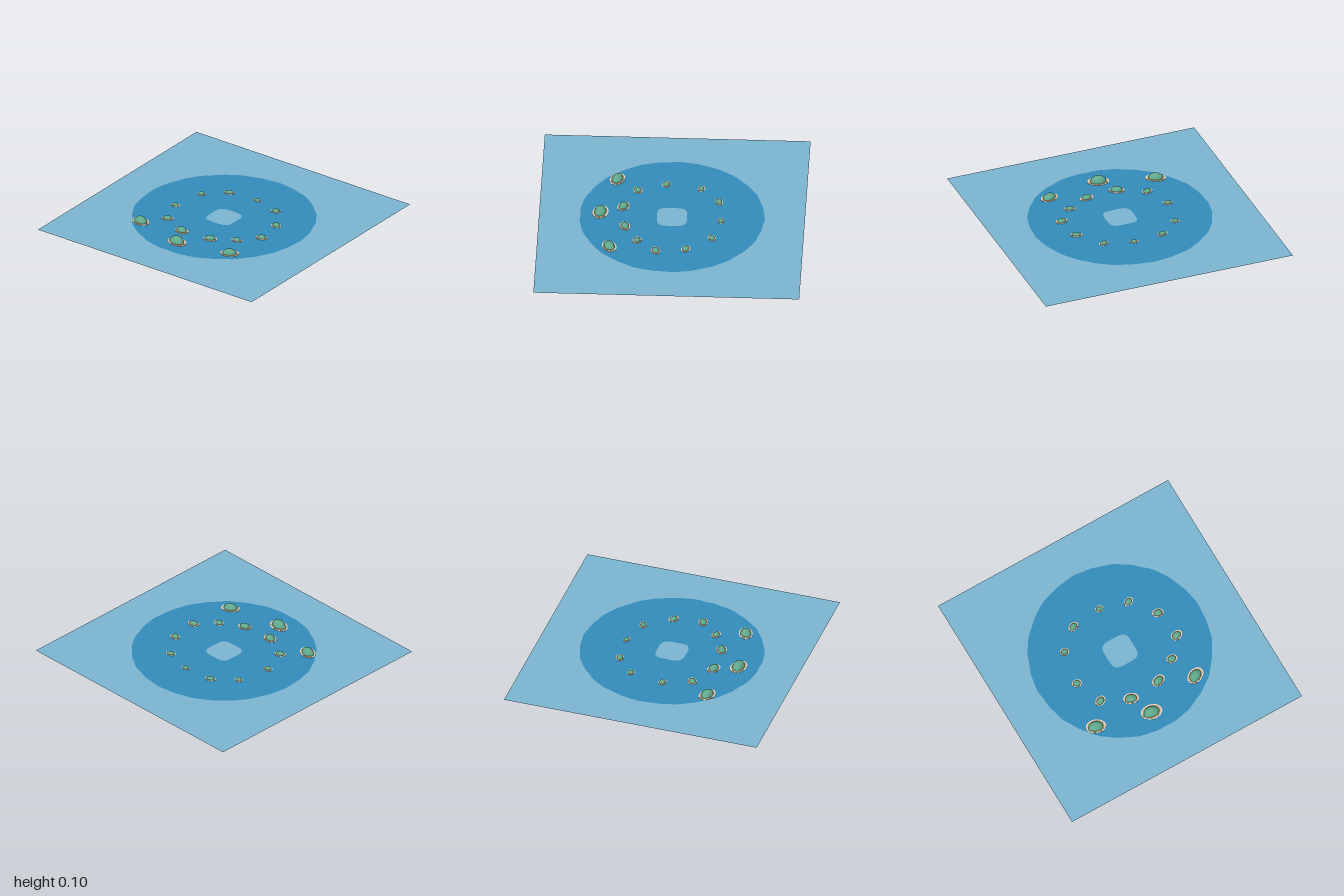
import * as THREE from 'three';

const SEA = 0.05; // water level

const paint = (name, color, side = THREE.FrontSide) => {
  const m = new THREE.MeshStandardMaterial({ color, side });
  m.name = name;
  return m;
};

// Closed outline given by radius as a function of angle
function outline(radius, steps = 120) {
  return Array.from({ length: steps }, (_, i) => {
    const t = (i / steps) * Math.PI * 2;
    const r = radius(t);
    return new THREE.Vector2(r * Math.cos(t), r * Math.sin(t));
  });
}

export function createModel() {
  const model = new THREE.Group();
  const shallow = paint('shallow water', 0x7ab4cf, THREE.DoubleSide);
  const deep = paint('deep water', 0x338aba, THREE.DoubleSide);
  const foam = paint('pale shore', 0xe0d2ba);
  const sand = paint('sand', 0xc8aa80);
  const green = paint('island green', 0x5fa88c);

  const add = (parent, name, geometry, material) => {
    const mesh = new THREE.Mesh(geometry, material);
    mesh.name = name;
    parent.add(mesh);
    return mesh;
  };

  // Water sheet: square rim, deep ring and rounded square middle, fitted edge to edge
  const outer = outline(t => 0.694 + 0.002 * Math.sin(13 * t) + 0.002 * Math.sin(29 * t));
  const inner = outline(t => 0.113 / Math.pow(Math.cos(t) ** 4 + Math.sin(t) ** 4, 0.25));
  const square = [[-1, -1], [1, -1], [1, 1], [-1, 1]].map(p => new THREE.Vector2(...p));
  const water = (name, edge, hole, material) => {
    const shape = new THREE.Shape(edge);
    if (hole) shape.holes.push(new THREE.Path(hole));
    const mesh = add(model, name, new THREE.ShapeGeometry(shape).rotateX(-Math.PI / 2), material);
    mesh.position.y = SEA;
  };
  water('shallowSea', square, outer, shallow);
  water('deepRing', outer, inner, deep);
  water('shallowMiddle', inner, null, shallow);

  // Islands: x, z, shore half length, half width, half height, turn
  const islands = [
    [-0.46, 0.43, 0.077, 0.055, 0.041, -0.35],
    [-0.04, 0.54, 0.083, 0.059, 0.05, -0.2],
    [0.39, 0.455, 0.073, 0.052, 0.038, 0.4],
    [-0.12, 0.37, 0.06, 0.043, 0.033, -0.35],
    [0.13, 0.35, 0.055, 0.039, 0.029, 0.3],
    [0.305, 0.25, 0.043, 0.033, 0.021, -0.15],
    [0.43, 0.105, 0.048, 0.036, 0.024, 0.25],
    [0.4, -0.12, 0.044, 0.034, 0.022, -0.3],
    [0.255, -0.31, 0.04, 0.029, 0.019, 0.4],
    [0.035, -0.37, 0.034, 0.025, 0.016, -0.1],
    [-0.205, -0.345, 0.043, 0.03, 0.021, 0.35],
    [-0.363, -0.205, 0.035, 0.029, 0.018, -0.35],
    [-0.41, 0.06, 0.038, 0.031, 0.019, -0.2],
    [-0.328, 0.27, 0.045, 0.034, 0.023, 0.4],
  ];
  const ball = new THREE.SphereGeometry(1, 32, 20);
  const disc = new THREE.CylinderGeometry(1, 1, 1, 40);
  islands.forEach(([x, z, a, b, h, turn]) => {
    const island = new THREE.Group();
    island.name = 'island';
    island.position.set(x, SEA, z);
    island.rotation.y = turn;
    add(island, 'shore', disc, foam).scale.set(a, 0.005, b);
    add(island, 'beach', disc, sand).scale.set(a * 0.86, 0.008, b * 0.86);
    add(island, 'mound', ball, green).scale.set(a * 0.72, h, b * 0.74);
    const knoll = add(island, 'sideKnoll', ball, green);
    knoll.scale.set(a * 0.36, h * 0.55, b * 0.4);
    knoll.position.set(-a * 0.4, 0, b * 0.22);
    model.add(island);
  });
  return model;
}
